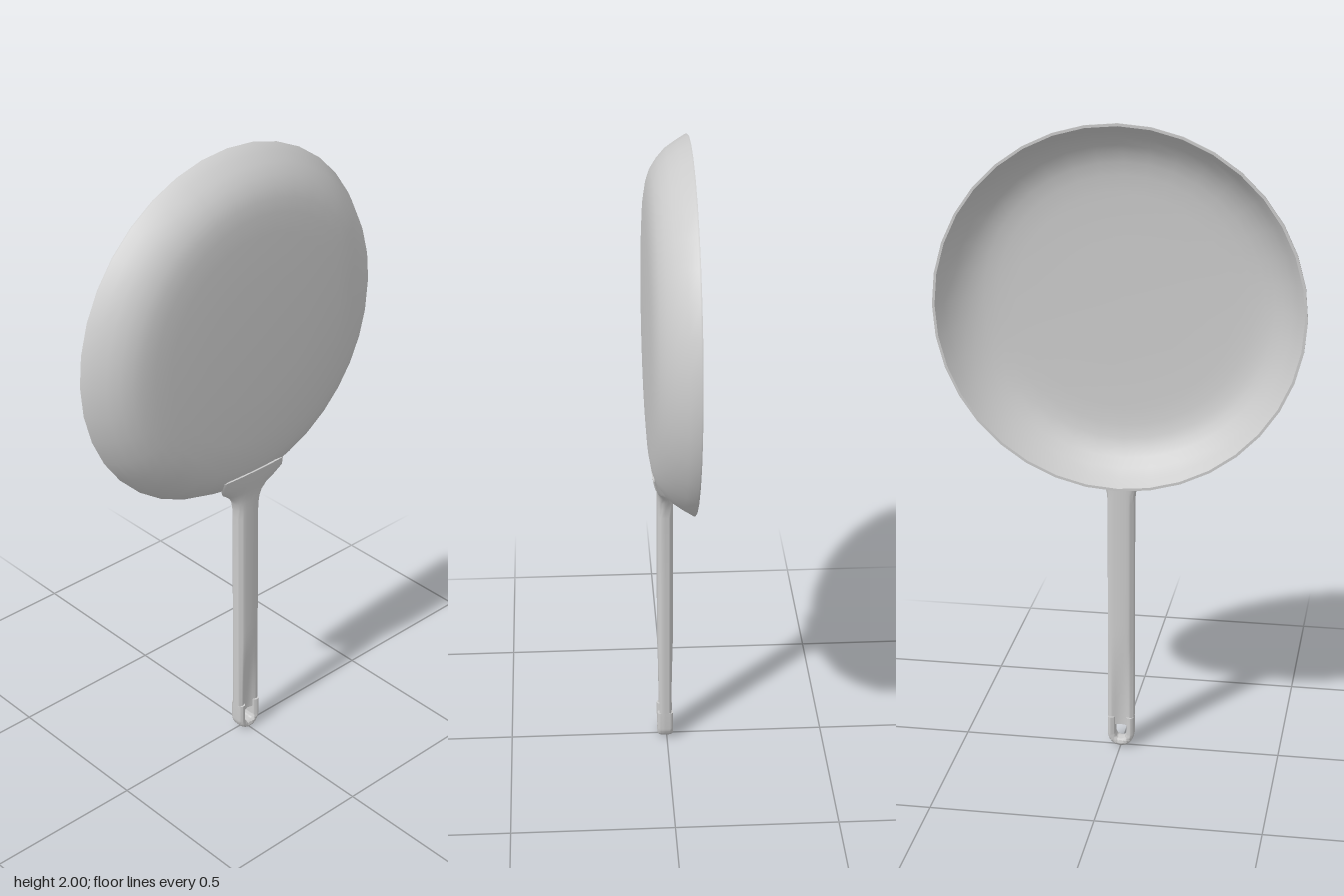
import * as THREE from 'three';
import { toCreasedNormals } from 'three/addons/utils/BufferGeometryUtils.js';

const material = new THREE.MeshStandardMaterial({ color: 0xcccccc });
const SIDES = 28;

// Rounded-rectangle section point in unit coordinates; power 1 is an ellipse.
function sectionPoint(j, power) {
  const t = (j / SIDES) * Math.PI * 2;
  const soften = (v) => Math.sign(v) * Math.pow(Math.abs(v), power);
  return [soften(Math.cos(t)), soften(Math.sin(t))];
}

// Skin a list of closed sections and cap both ends.
function loft(sections) {
  const index = [];
  const last = (sections.length - 1) * SIDES;
  for (let i = 0; i < last; i += SIDES) {
    for (let j = 0; j < SIDES; j++) {
      const a = i + j, b = i + ((j + 1) % SIDES);
      index.push(a, a + SIDES, b, b, a + SIDES, b + SIDES);
    }
  }
  for (let j = 0; j < SIDES / 2; j++) {
    const a = j, b = j + 1, c = SIDES - j - 1, d = (SIDES - j) % SIDES;
    index.push(a, b, d, b, c, d);
    index.push(last + a, last + d, last + b, last + b, last + d, last + c);
  }
  const geometry = new THREE.BufferGeometry();
  geometry.setAttribute('position', new THREE.Float32BufferAttribute(sections.flat(2), 3));
  geometry.setIndex(index);
  return toCreasedNormals(geometry, 1.0);
}

function addMesh(parent, name, geometry) {
  const mesh = new THREE.Mesh(geometry, material);
  mesh.name = name;
  parent.add(mesh);
  return mesh;
}

// Thin-walled dish, turned so its base faces the front
function makePan(parent) {
  const profile = [
    [0, -0.067], [0.2, -0.066], [0.33, -0.062], [0.39, -0.058], [0.43, -0.051],
    [0.462, -0.04], [0.49, -0.022], [0.518, 0.003], [0.54, 0.035], [0.558, 0.065],
    [0.558, 0.07], [0.55, 0.07], [0.53, 0.038], [0.507, 0.008], [0.48, -0.014],
    [0.455, -0.029], [0.425, -0.04], [0.385, -0.047], [0.33, -0.051], [0.2, -0.054], [0, -0.055],
  ].map(([r, h]) => new THREE.Vector2(r, h));
  const pan = addMesh(parent, 'pan', toCreasedNormals(new THREE.LatheGeometry(profile, 36), 0.7));
  pan.rotation.x = -Math.PI / 2;
  pan.position.y = 1.442;
}

// Grip with shallow grooves near the end, flaring out into the pan wall
function makeHandle(parent) {
  // y, half width, back z, front z, section power
  const stations = [];
  for (let i = 0; i <= 12; i++) stations.push([0.072 + i * 0.029, 0.042, -0.02, 0.03, 0.6]);
  stations.push(
    [0.6, 0.042, -0.02, 0.03, 0.6],
    [0.82, 0.042, -0.02, 0.03, 0.6],
    [0.85, 0.044, -0.02, 0.03, 0.65],
    [0.875, 0.05, -0.02, 0.03, 0.7],
    [0.895, 0.062, -0.02, 0.031, 0.8],
    [0.915, 0.083, -0.012, 0.034, 0.95],
    [0.935, 0.108, 0.006, 0.039, 1],
    [0.96, 0.125, 0.025, 0.045, 1],
    [0.99, 0.12, 0.038, 0.049, 1],
  );
  const sections = stations.map(([y, w, back, front, power]) => {
    const groove = 0.6 * (1 - THREE.MathUtils.smoothstep(y, 0.07, 0.4));
    return Array.from({ length: SIDES }, (_, j) => {
      const [u, v] = sectionPoint(j, power);
      const depth = v * (1 - groove * Math.pow(1 - u * u, 2));
      return [u * w, y, (front + back) / 2 + (depth * (front - back)) / 2];
    });
  });
  addMesh(parent, 'grip', loft(sections));
}

// U-shaped end that leaves the hanging hole open
function makeHangingLoop(parent) {
  const radius = 0.0295, halfWidth = 0.0125, centreY = 0.042, steps = 20;
  const path = [[Math.PI, 0.1]];
  for (let i = 0; i <= steps; i++) path.push([Math.PI * (1 + i / steps), centreY]);
  path.push([Math.PI * 2, 0.1]);
  const sections = path.map(([angle, y]) =>
    Array.from({ length: SIDES }, (_, j) => {
      const [u, v] = sectionPoint(j, 0.7);
      const r = radius + u * halfWidth;
      return [r * Math.cos(angle), y + r * Math.sin(angle), 0.005 + v * 0.025];
    }));
  addMesh(parent, 'hangingLoop', loft(sections));
}

export function createModel() {
  const model = new THREE.Group();
  model.name = 'fryingPan';
  makePan(model);
  const handle = new THREE.Group();
  handle.name = 'handle';
  model.add(handle);
  makeHandle(handle);
  makeHangingLoop(handle);
  return model;
}
